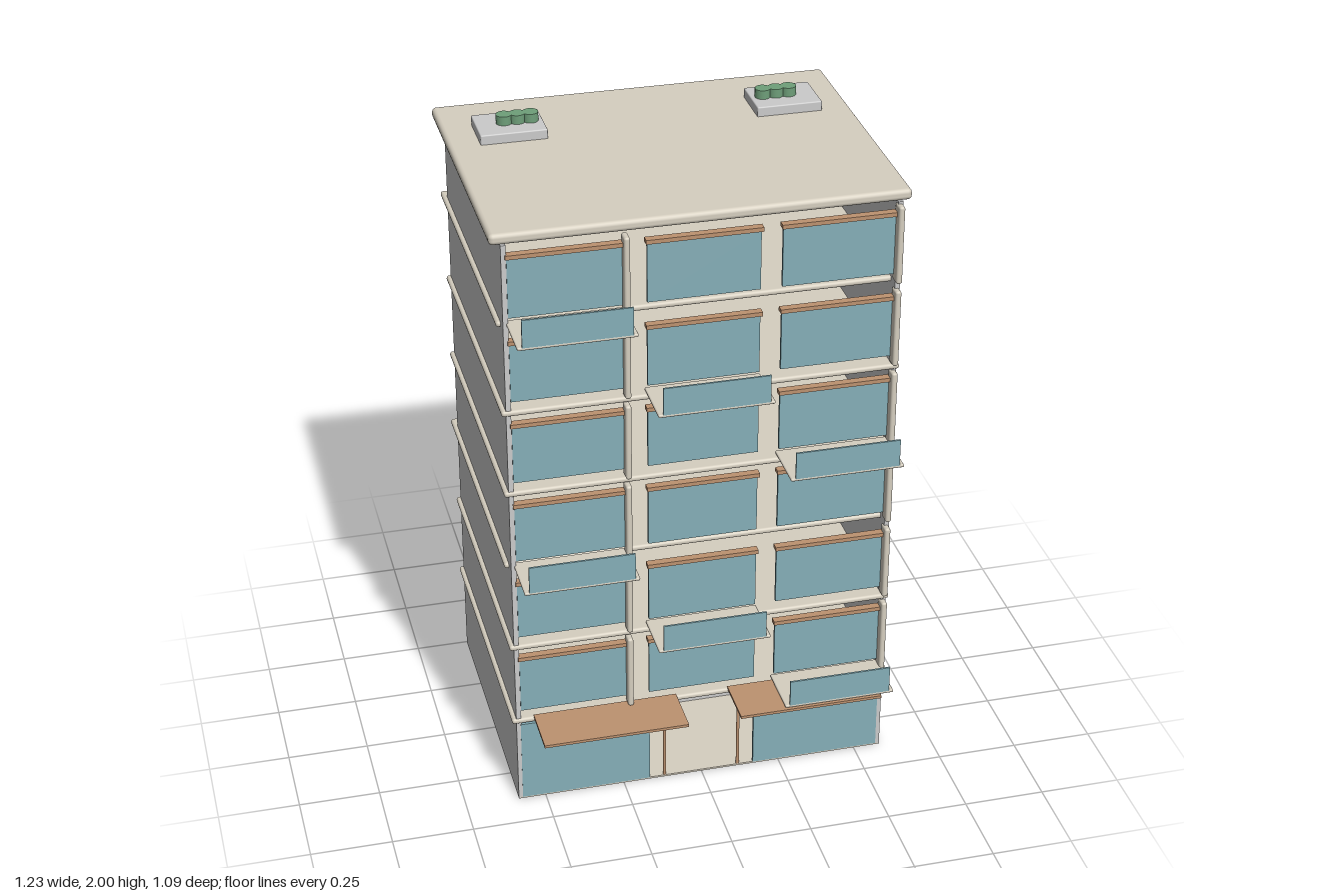
import * as THREE from 'three';
import { RoundedBoxGeometry } from 'three/addons/geometries/RoundedBoxGeometry.js';

const mat = (color) => new THREE.MeshStandardMaterial({ color });

export function createModel() {
  const model = new THREE.Group();
  const grey = mat(0xcccccc), stone = mat(0xd6cfc0), glass = mat(0x86afb9);
  const wood = mat(0xbd9270), green = mat(0x6f9f7a);

  // box given by its min/max limits; r > 0 rounds the edges
  function box(name, material, [x0, x1], [y0, y1], [z0, z1], r = 0, parent = model) {
    const size = [x1 - x0, y1 - y0, z1 - z0];
    const geo = r ? new RoundedBoxGeometry(...size, 2, r) : new THREE.BoxGeometry(...size);
    const mesh = new THREE.Mesh(geo, material);
    mesh.position.set((x0 + x1) / 2, (y0 + y1) / 2, (z0 + z1) / 2);
    mesh.name = name;
    parent.add(mesh);
    return mesh;
  }

  // hollow shell, open at the front
  const back = -0.495, front = 0.385, top = 1.91;
  box('rightWall', grey, [-0.585, -0.57], [0, top], [back, front]);
  box('leftWall', grey, [0.57, 0.585], [0, top], [back, front]);
  box('backWall', grey, [-0.57, 0.57], [0, top], [back, back + 0.015]);
  box('groundFloor', stone, [-0.58, 0.58], [0, 0.006], [back, front]);

  // ground floor: shop glazing, entrance posts, reception desk, canopies
  for (const s of [-1, 1]) {
    const span = (a, b) => (s > 0 ? [a, b] : [-b, -a]);
    box('shopWindow', glass, span(0.167, 0.572), [0.005, 0.28], [0.375, 0.386]);
    box('canopy', wood, span(0.082, 0.53), [0.298, 0.307], [0.38, 0.545]);
    const post = new THREE.Mesh(new THREE.CylinderGeometry(0.005, 0.005, 0.28, 12), wood);
    post.position.set(s * 0.118, 0.146, 0.38);
    post.name = 'entrancePost';
    model.add(post);
  }
  box('deskPlinth', grey, [-0.28, 0.28], [0.006, 0.03], [-0.08, 0.02]);
  box('receptionDesk', wood, [-0.3, 0.3], [0.03, 0.13], [-0.09, 0.03]);

  // six upper storeys; the balcony steps through the bays
  const bays = [-0.402, 0, 0.398];
  for (let i = 0; i < 6; i++) {
    const y = 0.295 + i * 0.27;
    const storey = new THREE.Group();
    storey.name = 'storey' + (i + 1);
    model.add(storey);

    // every third floor slab is set further back
    const shift = i % 3 === 2 ? -0.042 : 0;
    box('floorSlab', stone, [-0.598, 0.594], [y - 0.009, y + 0.009],
      [-0.503 + shift, 0.39 + shift], 0.008, storey);

    for (const x of bays) {
      box('window', glass, [x - 0.167, x + 0.167], [y + 0.035, y + 0.222], [0.372, 0.382], 0, storey);
      box('lintel', wood, [x - 0.172, x + 0.172], [y + 0.222, y + 0.235], [0.367, 0.392], 0, storey);
    }
    // projecting fins beside the right bay and at the left corner
    for (const x of [-0.23, 0.575]) {
      box('fin', stone, [x - 0.009, x + 0.009], [y + 0.012, y + 0.258], [0.366, 0.41], 0.007, storey);
    }
    // balcony floor with a glass front
    const bx = bays[2 - (i % 3)];
    box('balconyFloor', stone, [bx - 0.173, bx + 0.173], [y + 0.012, y + 0.022], [0.365, 0.537], 0.004, storey);
    box('balconyGlass', glass, [bx - 0.159, bx + 0.159], [y + 0.02, y + 0.107], [0.531, 0.537], 0, storey);
  }

  // roof slab with two planters
  box('roof', stone, [-0.616, 0.614], [1.908, 1.942], [-0.532, 0.38], 0.013);
  for (const s of [-1, 1]) {
    const x = s * 0.422;
    box('planter', grey, [x - 0.101, x + 0.101], [1.938, 1.972], [-0.373, -0.217], 0.004);
    for (const dx of [-0.04, 0, 0.04]) {
      const shrub = new THREE.Mesh(new THREE.CylinderGeometry(0.024, 0.024, 0.032, 20), green);
      shrub.position.set(s * 0.398 + dx, 1.984, -0.295);
      shrub.name = 'shrub';
      model.add(shrub);
    }
  }
  return model;
}
